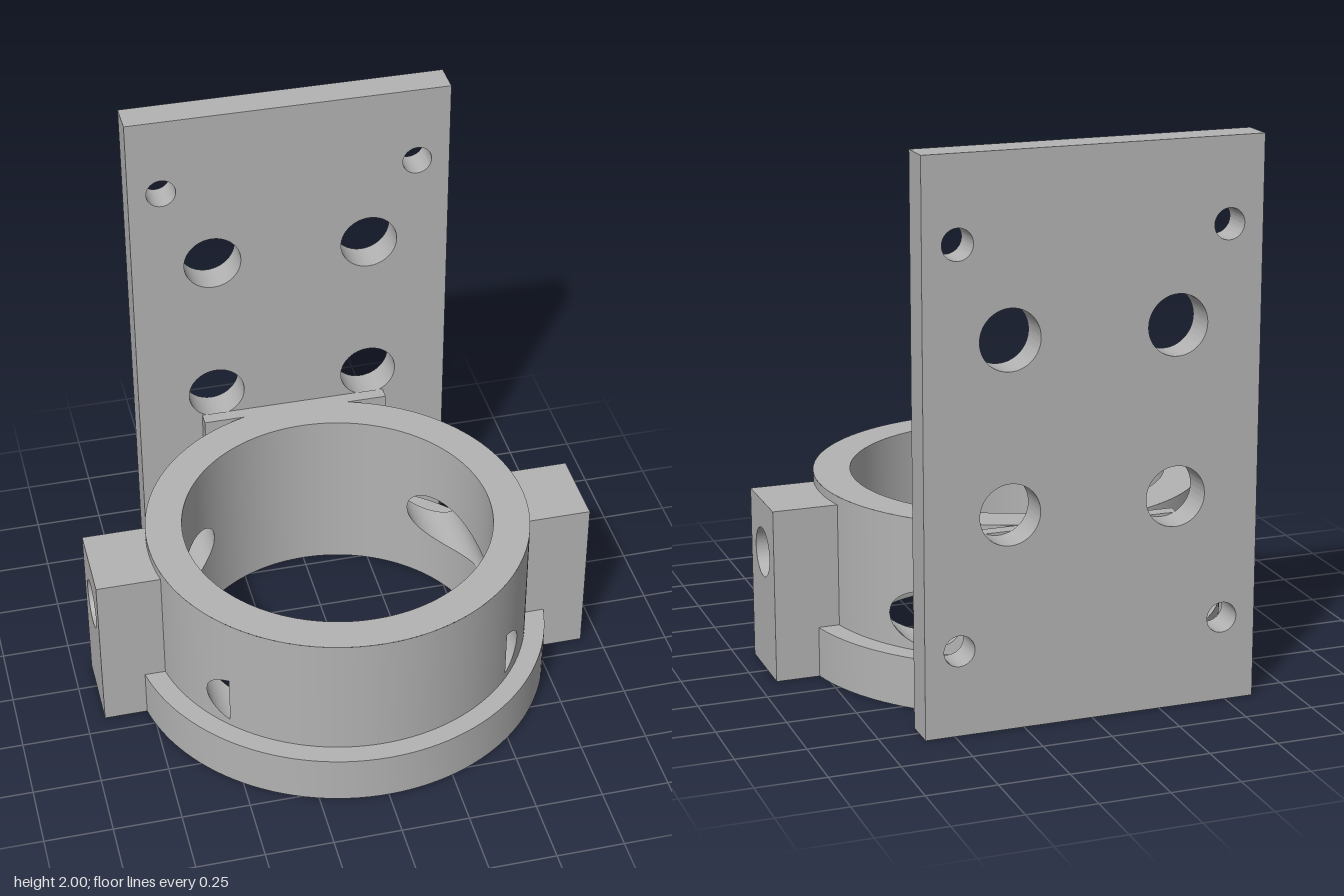
import * as THREE from 'three';
import { toCreasedNormals } from 'three/addons/utils/BufferGeometryUtils.js';

const ZC = 0.03;                      // ring axis
const R_IN = 0.575, R_OUT = 0.71, R_FLANGE = 0.785;
const H = 0.667, H_FLANGE = 0.185;
const ACCESS = { x: 0.485, y: 0.305, r: 0.1, zEnd: 0.515 };   // long bores running front to back
const PIN = { y: 0.44, r: 0.045, bore: 0.09 };                // side pin holes

// half height of a round hole at distance d from its centre
const halfChord = (r, d) => Math.sqrt(Math.max(0, r * r - d * d));

// collects quads with given normals into one geometry
function quadBuilder() {
  const pos = [], nor = [];
  return {
    add(p, n, flip) {
      const order = flip ? [0, 2, 1, 0, 3, 2] : [0, 1, 2, 0, 2, 3];
      for (const i of order) { pos.push(...p[i]); nor.push(...n[i]); }
    },
    build() {
      const g = new THREE.BufferGeometry();
      g.setAttribute('position', new THREE.Float32BufferAttribute(pos, 3));
      g.setAttribute('normal', new THREE.Float32BufferAttribute(nor, 3));
      return g;
    },
  };
}

// cylindrical wall with the access bores and the right pin hole left open
function wallGeometry(r, y0, inward) {
  const angles = [];
  for (let i = 0; i <= 720; i++) angles.push(i * Math.PI / 360);
  const edges = [ACCESS.x - ACCESS.r, ACCESS.x + ACCESS.r].map(x => Math.asin(Math.min(1, x / r)));
  if (r > R_IN) edges.push(Math.acos((ACCESS.zEnd - ZC) / r));
  for (const a of edges) angles.push(a, Math.PI - a, Math.PI + a, 2 * Math.PI - a);
  const pinEdge = Math.asin(PIN.r / r);
  angles.push(1.5 * Math.PI - pinEdge, 1.5 * Math.PI + pinEdge);
  angles.sort((a, b) => a - b);

  const quads = quadBuilder(), s = inward ? -1 : 1;
  for (let i = 0; i + 1 < angles.length; i++) {
    const a = angles[i], b = angles[i + 1];
    if (b - a < 1e-6) continue;
    const beyond = ZC + r * Math.cos((a + b) / 2) > ACCESS.zEnd;
    const levels = t => {
      const h = beyond ? 0 : halfChord(ACCESS.r, Math.abs(r * Math.sin(t)) - ACCESS.x);
      const k = Math.sin(t) < 0 ? halfChord(PIN.r, r * Math.cos(t)) : 0;
      return [y0, ACCESS.y - h, ACCESS.y + h, PIN.y - k, PIN.y + k, H];
    };
    const la = levels(a), lb = levels(b);
    const pt = (t, y) => [r * Math.sin(t), y, ZC + r * Math.cos(t)];
    const na = [s * Math.sin(a), 0, s * Math.cos(a)], nb = [s * Math.sin(b), 0, s * Math.cos(b)];
    for (const j of [0, 2, 4]) {
      quads.add([pt(a, la[j]), pt(b, lb[j]), pt(b, lb[j + 1]), pt(a, la[j + 1])], [na, nb, nb, na], inward);
    }
  }
  return quads.build();
}

// inside of an access bore, trimmed to the ring wall
function accessBoreGeometry(side) {
  const quads = quadBuilder(), N = 128;
  const line = i => {
    const t = i / N * 2 * Math.PI, x = ACCESS.x + ACCESS.r * Math.cos(t);
    const o = halfChord(R_OUT, x), n = halfChord(R_IN, x);
    return {
      at: z => [side * x, ACCESS.y + ACCESS.r * Math.sin(t), z],
      normal: [-side * Math.cos(t), -Math.sin(t), 0],
      spans: [[ZC - o, ZC - n], [ZC + n, Math.min(ACCESS.zEnd, ZC + o)]],
    };
  };
  for (let i = 0; i < N; i++) {
    const a = line(i), b = line(i + 1);
    for (const k of [0, 1]) {
      const [a0, a1] = a.spans[k], [b0, b1] = b.spans[k];
      quads.add([a.at(a0), b.at(b0), b.at(b1), a.at(a1)],
        [a.normal, b.normal, b.normal, a.normal], side > 0);
    }
  }
  return quads.build();
}

// inside of the small pin hole through the wall on the -x side
function pinHoleGeometry() {
  const quads = quadBuilder(), N = 48;
  for (let i = 0; i < N; i++) {
    const [a, b] = [i, i + 1].map(k => {
      const t = k / N * 2 * Math.PI, y = PIN.r * Math.cos(t), z = PIN.r * Math.sin(t);
      const at = r => [-halfChord(r, z), PIN.y + y, ZC + z];
      return { o: at(R_OUT), n: at(R_IN), normal: [0, -Math.cos(t), -Math.sin(t)] };
    });
    quads.add([a.o, b.o, b.n, a.n], [a.normal, b.normal, b.normal, a.normal], true);
  }
  return quads.build();
}

// rectangular slab with round holes [x, y, radius]
function slabGeometry(x0, x1, y0, y1, depth, holes) {
  const s = new THREE.Shape();
  s.moveTo(x0, y0); s.lineTo(x1, y0); s.lineTo(x1, y1); s.lineTo(x0, y1); s.closePath();
  for (const [x, y, r] of holes) s.holes.push(new THREE.Path().absarc(x, y, r, 0, Math.PI * 2, true));
  const g = new THREE.ExtrudeGeometry(s, { depth, bevelEnabled: false, curveSegments: 48 });
  return toCreasedNormals(g, Math.PI / 6);
}

function latheGeometry(points) {
  const g = new THREE.LatheGeometry(points.map(p => new THREE.Vector2(...p)), 128);
  return toCreasedNormals(g.translate(0, 0, ZC), Math.PI / 6);
}

export function createModel() {
  const model = new THREE.Group();
  model.name = 'ringBracket';
  const grey = new THREE.MeshStandardMaterial({ color: 0xb3b3b3 });
  grey.name = 'grey';
  const add = (name, geometry) => {
    const m = new THREE.Mesh(geometry, grey);
    m.name = name;
    model.add(m);
    return m;
  };

  // ring body
  add('ringOuterWall', wallGeometry(R_OUT, H_FLANGE, false));
  add('ringInnerWall', wallGeometry(R_IN, 0, true));
  add('ringTop', latheGeometry([[R_OUT, H], [R_IN, H]]));
  add('baseFlange', latheGeometry([[R_IN, 0], [R_FLANGE, 0], [R_FLANGE, H_FLANGE], [R_OUT, H_FLANGE]]));
  add('pinHole', pinHoleGeometry());

  // access bores and their flat ends inside the front wall
  const cut = Math.acos((halfChord(R_OUT, ACCESS.zEnd - ZC) - ACCESS.x) / ACCESS.r);
  for (const side of [1, -1]) {
    add('accessBore', accessBoreGeometry(side));
    const end = new THREE.Shape();
    end.absarc(0, 0, ACCESS.r, cut, 2 * Math.PI - cut, false);
    const g = new THREE.ShapeGeometry(end, 40);
    // turned to face back; spun for the +x side so the cut edge stays outward
    if (side > 0) g.rotateZ(Math.PI);
    g.rotateY(Math.PI);
    add('accessBoreEnd', g).position.set(side * ACCESS.x, ACCESS.y, ACCESS.zEnd);
  }

  // side ears with pin bores
  for (const side of [1, -1]) {
    const ear = slabGeometry(-0.15, 0.15, 0, 0.635, 0.28, [[0, PIN.y, PIN.bore]]);
    ear.rotateY(side * Math.PI / 2);
    add(side > 0 ? 'leftEar' : 'rightEar', ear).position.set(side * 0.65, 0, ZC);
  }

  // mounting plate and the block joining it to the ring
  const holes = [];
  for (const s of [1, -1]) {
    for (const y of [0.305, 1.7]) holes.push([s * 0.482, y, 0.055]);
    for (const y of [0.765, 1.367]) holes.push([s * 0.3, y, 0.108]);
  }
  add('mountingPlate', slabGeometry(-0.605, 0.605, 0, 2, 0.12, holes)).position.z = -0.82;
  add('joiningBlock', new THREE.BoxGeometry(0.72, H, 0.05)).position.set(0, H / 2, -0.675);

  return model;
}
